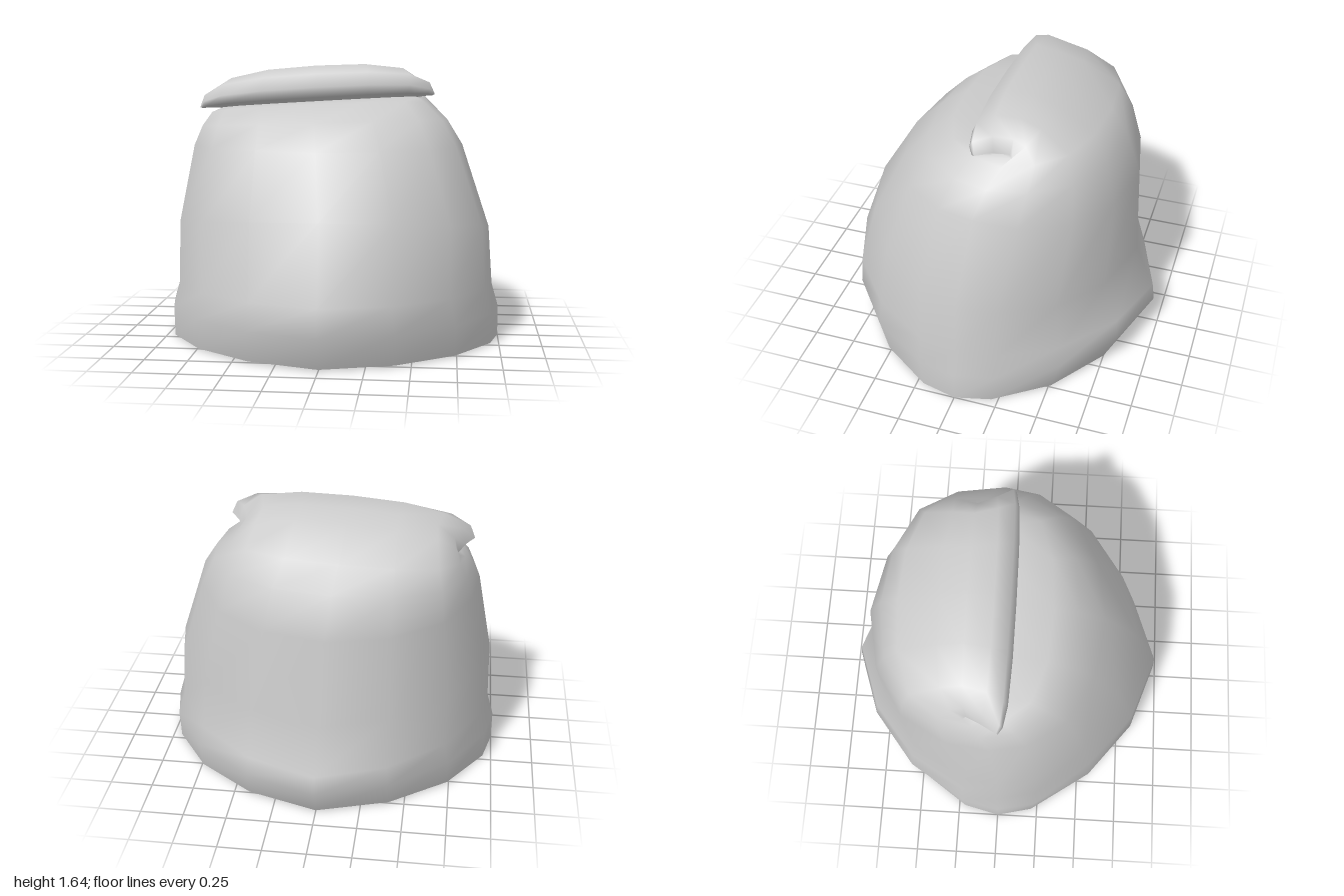
import * as THREE from 'three';

// Quarter outlines [across, depth]: round for the base, squarer for the folded top
const ROUND = [[0, 1], [0.41, 0.855], [0.74, 0.585], [0.95, 0.24], [1, 0]];
const SQUARE = [[0, 1], [0.45, 0.96], [0.8, 0.78], [0.96, 0.42], [1, 0]];
const SIDES = 16;

// Unit outline point i, running front -> left -> back -> right
function outline(i, square) {
  const quarter = Math.floor(i / 4), step = i % 4;
  const k = quarter % 2 ? 4 - step : step;
  const sx = quarter < 2 ? 1 : -1;
  const sz = quarter === 0 || quarter === 3 ? 1 : -1;
  const mix = (c) => THREE.MathUtils.lerp(ROUND[k][c], SQUARE[k][c], square);
  return [sx * mix(0), sz * mix(1)];
}

// Sections: xMin, xMax, then z and y at front, side and back, squareness, sideways tilt
const BODY = [
  [-1, 1, 0.88, 0, -0.88, 0.01, 0.0, 0.01, 0, 0],
  [-1, 1, 0.965, 0, -0.965, 0.2, 0.18, 0.18, 0, 0],
  [-0.96, 0.96, 0.955, 0, -0.95, 0.36, 0.32, 0.29, 0, 0],
  [-0.95, 0.935, 0.8, 0, -0.83, 0.8, 0.67, 0.55, 0.2, 0],
  [-0.86, 0.77, 0.58, -0.05, -0.8, 1.16, 1.16, 1.08, 0.5, 0],
  [-0.82, 0.68, 0.42, -0.1, -0.71, 1.31, 1.28, 1.31, 0.7, 0.03],
  [-0.77, 0.57, 0.27, -0.15, -0.6, 1.41, 1.36, 1.45, 0.9, 0.05],
  [-0.74, 0.52, 0.03, -0.2, -0.36, 1.415, 1.39, 1.575, 1, 0.06],
  [-0.73, 0.5, -0.12, -0.18, -0.21, 1.41, 1.4, 1.615, 1, 0.06],
];
// Rolled flap: only the back half of each section is used
const FLAP = [
  [-0.77, 0.54, -0.06, -0.1, -0.06, 1.41, 1.42, 1.628, 1, 0.06],
  [-0.82, 0.6, 0.03, -0.01, 0.03, 1.41, 1.425, 1.58, 1, 0.06],
  [-0.82, 0.6, 0.06, 0, 0.06, 1.41, 1.418, 1.5, 1, 0.06],
  [-0.81, 0.59, 0.04, -0.01, 0.04, 1.41, 1.412, 1.44, 1, 0.06],
  [-0.78, 0.56, -0.02, -0.05, -0.02, 1.41, 1.41, 1.46, 1, 0.06],
  [-0.71, 0.49, -0.12, -0.16, -0.12, 1.41, 1.4, 1.41, 1, 0.06],
];

function sackGeometry() {
  const rows = [...BODY, ...FLAP];
  const positions = [], index = [];
  for (const [x0, x1, zf, zs, zb, yf, ys, yb, square, tilt] of rows) {
    for (let i = 0; i < SIDES; i++) {
      const [u, v] = outline(i, square);
      const x = (x0 + x1) / 2 + (u * (x1 - x0)) / 2;
      const d = Math.abs(v);
      const z = zs + ((v > 0 ? zf : zb) - zs) * d;
      const y = ys + ((v > 0 ? yf : yb) - ys) * d + tilt * (x + 0.1);
      positions.push(x, y, z);
    }
  }
  for (let j = 0; j < rows.length - 1; j++) {
    const open = j >= BODY.length - 1;
    const [from, to] = open ? [SIDES / 4, (SIDES * 3) / 4] : [0, SIDES];
    for (let i = from; i < to; i++) {
      const a = j * SIDES + i, b = j * SIDES + ((i + 1) % SIDES);
      index.push(a, b, b + SIDES, a, b + SIDES, a + SIDES);
    }
  }
  const geometry = new THREE.BufferGeometry();
  geometry.setAttribute('position', new THREE.Float32BufferAttribute(positions, 3));
  geometry.setIndex(index);
  geometry.computeVertexNormals();
  return geometry;
}

export function createModel() {
  const group = new THREE.Group();
  group.name = 'foldedSack';
  // Cloth shell, open underneath, with its top rolled forward
  const cloth = new THREE.MeshStandardMaterial({ color: 0xcccccc, side: THREE.DoubleSide });
  const sack = new THREE.Mesh(sackGeometry(), cloth);
  sack.name = 'sackCloth';
  group.add(sack);
  return group;
}
